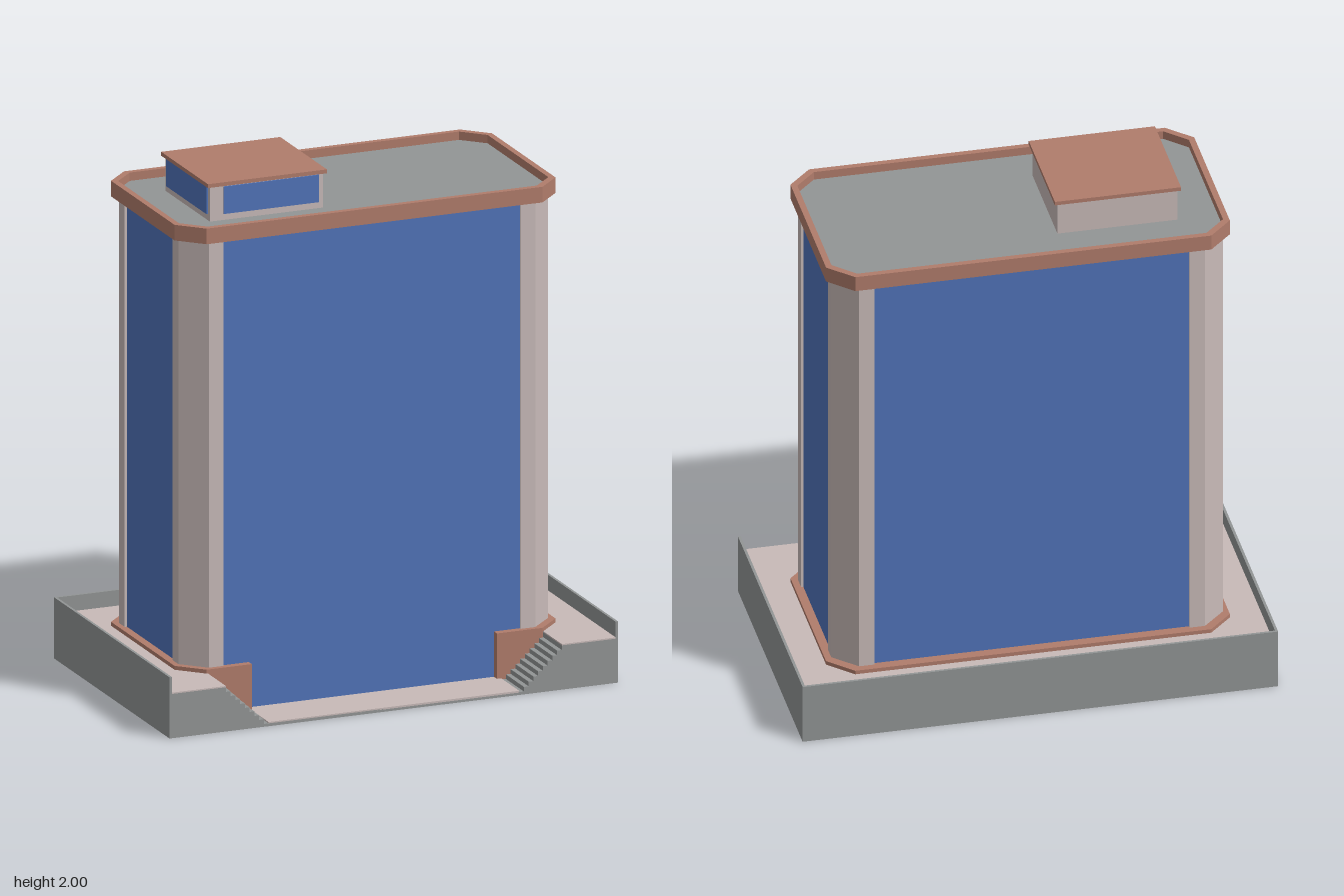
import * as THREE from 'three';

const mat = (name, color) => new THREE.MeshStandardMaterial({ name, color });

export function createModel() {
  const group = new THREE.Group();
  const concrete = mat('grey concrete', 0x929595);
  const stone = mat('pale stone', 0xc8bab8);
  const glass = mat('blue glass', 0x5073b9);
  const brick = mat('terracotta', 0xb07c6b);

  const add = (name, geometry, material) => {
    const mesh = new THREE.Mesh(geometry, material);
    mesh.name = name;
    group.add(mesh);
    return mesh;
  };
  // Box given by its limits on each axis
  const box = (name, material, x0, x1, y0, y1, z0, z1) => {
    const g = new THREE.BoxGeometry(x1 - x0, y1 - y0, z1 - z0);
    g.translate((x0 + x1) / 2, (y0 + y1) / 2, (z0 + z1) / 2);
    return add(name, g, material);
  };
  // Upright prism over a plan of [x, z] points
  const plan = (pts) => pts.map(([x, z]) => new THREE.Vector2(x, -z));
  const prism = (name, material, pts, y0, y1, hole) => {
    const shape = new THREE.Shape(plan(pts));
    if (hole) shape.holes.push(new THREE.Path(plan(hole)));
    const g = new THREE.ExtrudeGeometry(shape, { depth: y1 - y0, bevelEnabled: false });
    g.rotateX(-Math.PI / 2).translate(0, y0, 0);
    return add(name, g, material);
  };
  // Rectangle with cut corners, starting at the front right
  const octagon = (x0, x1, z0, z1, c) => [
    [x1 - c, z1], [x1, z1 - c], [x1, z0 + c], [x1 - c, z0],
    [x0 + c, z0], [x0, z0 + c], [x0, z1 - c], [x0 + c, z1],
  ];

  // Site block: rear mass, and a stepped front around the sunken court
  const X0 = -0.9, X1 = 0.89, Z0 = -0.55, Z1 = 0.54, terraceY = 0.175, courtY = 0.016;
  box('baseRear', concrete, X0, X1, 0, 0.17, Z0, 0.33);
  const steps = 9, run = 0.17 / steps, rise = (terraceY - courtY) / steps;
  const front = [[X0, 0], [X0, 0.17], [-0.675, 0.17]];
  const right = [];
  for (let i = 0; i < steps; i++) {
    const y = 0.17 - i * rise, low = Math.max(y - rise, 0.01);
    front.push([-0.675 + i * run, low], [-0.675 + (i + 1) * run, low]);
    right.unshift([0.665 - (i + 1) * run, low], [0.665 - i * run, low]);
  }
  front.push(...right, [0.665, 0.17], [X1, 0.17], [X1, 0]);
  const profile = front.filter((p, i) => i === 0 || p[0] !== front[i - 1][0] || p[1] !== front[i - 1][1]);
  const frontShape = new THREE.Shape(profile.map(([x, y]) => new THREE.Vector2(x, y)));
  const frontGeo = new THREE.ExtrudeGeometry(frontShape, { depth: Z1 - 0.33, bevelEnabled: false });
  frontGeo.translate(0, 0, 0.33);
  add('baseFrontWithStairs', frontGeo, concrete);

  // Paving on the terrace and court
  const t = 0.01;
  prism('terracePaving', stone, [
    [X0 + t, Z1], [X0 + t, Z0 + t], [X1 - t, Z0 + t], [X1 - t, Z1],
    [0.665, Z1], [0.665, 0.33], [-0.675, 0.33], [-0.675, Z1],
  ], 0.17, terraceY);
  box('courtPaving', stone, -0.505, 0.495, 0.009, courtY, 0.33, Z1);

  // Thin boundary walls on three sides
  box('wallRight', concrete, X0, X0 + t, 0.17, 0.235, Z0, Z1);
  box('wallLeft', concrete, X1 - t, X1, 0.17, 0.235, Z0, Z1);
  box('wallBack', concrete, X0 + t, X1 - t, 0.17, 0.235, Z0, Z0 + t);

  // Plinth around the tower, open at the front court
  const rim = octagon(-0.77, 0.75, -0.408, 0.37, 0.09);
  prism('plinth', brick, [...rim, [-0.5, 0.37], [-0.5, 0.32], [0.478, 0.32], [0.478, 0.37]], 0.012, 0.19);

  // Tower glazing and cut-corner pillars
  box('glassFrontBack', glass, -0.61, 0.595, 0.012, 1.83, -0.37, 0.342);
  box('glassSides', glass, -0.74, 0.717, 0.012, 1.83, -0.25, 0.22);
  const midX = -0.0115, midZ = -0.015;
  for (const sx of [1, -1]) for (const sz of [1, -1]) {
    const pillar = [[0.593, 0.225], [0.737, 0.225], [0.737, 0.28], [0.651, 0.365], [0.593, 0.365]];
    prism('cornerPillar', stone, pillar.map(([x, z]) => [midX + sx * x, midZ + sz * z]), 0.1, 1.83);
  }

  // Roof deck and parapet
  const inner = octagon(-0.747, 0.727, -0.385, 0.347, 0.08);
  prism('parapet', brick, rim, 1.825, 1.885, inner);
  prism('roofDeck', concrete, inner, 1.826, 1.853);

  // Rooftop room with two glazed sides and a flat cap
  box('roofRoom', stone, -0.594, -0.143, 1.85, 1.985, -0.22, 0.198);
  box('roofRoomFrontGlass', glass, -0.54, -0.16, 1.877, 1.982, 0.198, 0.203);
  box('roofRoomSideGlass', glass, -0.6, -0.594, 1.877, 1.982, -0.2, 0.18);
  box('roofRoomCap', brick, -0.605, -0.13, 1.985, 2, -0.235, 0.205);

  return group;
}
